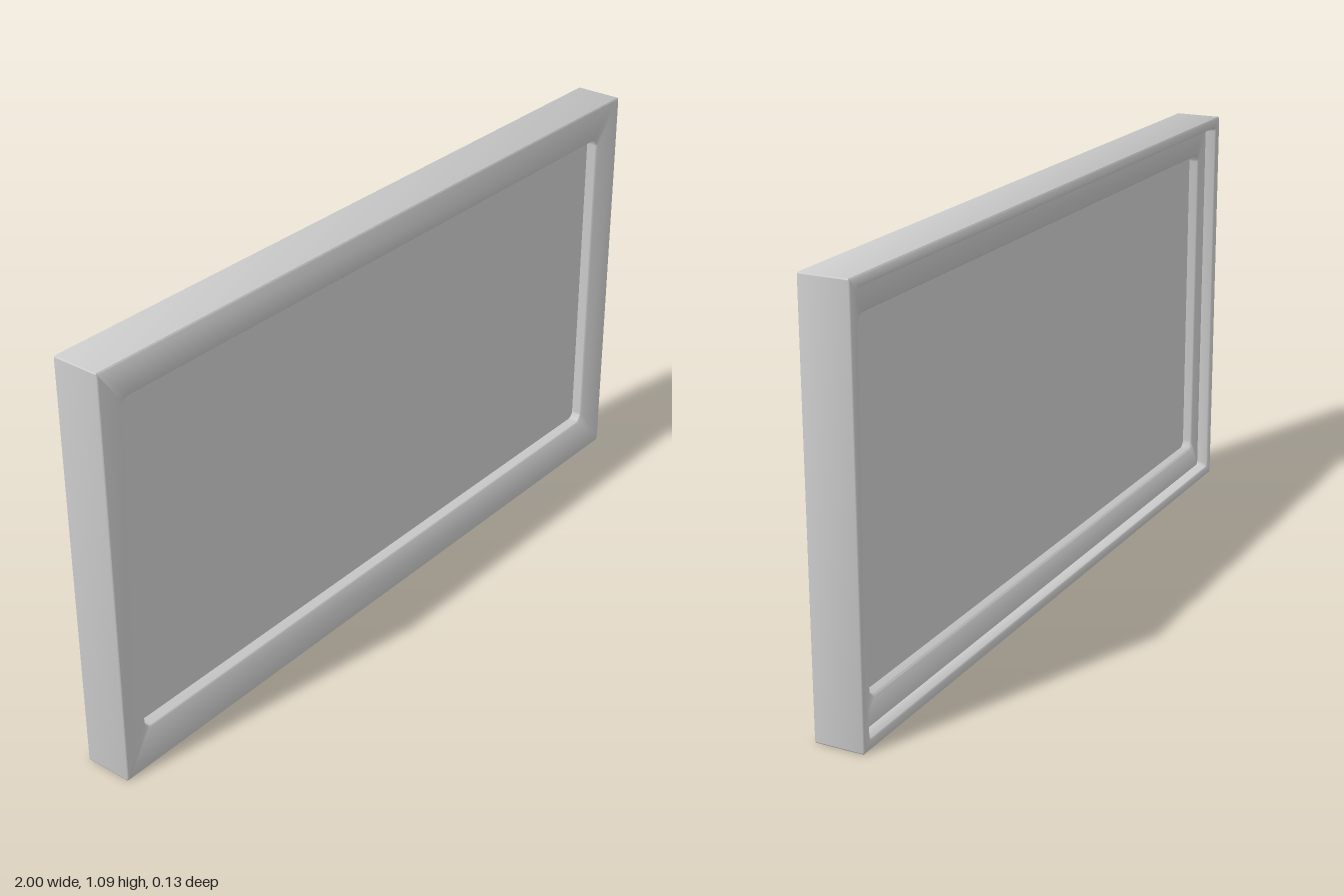
import * as THREE from 'three';
import { toCreasedNormals } from 'three/addons/utils/BufferGeometryUtils.js';

const W = 2, H = 1.09, ARC = 5;

// Rounded rectangle loop, counter-clockwise from the front, inset from the outer edge
function ring(insetX, insetY, z, r) {
  const points = [];
  const hx = W / 2 - insetX, hy = H / 2 - insetY;
  const corners = [[1, 1], [-1, 1], [-1, -1], [1, -1]];
  corners.forEach(([sx, sy], c) => {
    for (let k = 0; k <= ARC; k++) {
      const a = (c + k / ARC) * Math.PI / 2;
      points.push([sx * (hx - r) + r * Math.cos(a), sy * (hy - r) + r * Math.sin(a), z]);
    }
  });
  return points;
}

// Closed skin through a cycle of rings
function loftRings(rings) {
  const n = rings[0].length, index = [];
  rings.forEach((_, i) => {
    const p = i * n, q = ((i + 1) % rings.length) * n;
    for (let j = 0; j < n; j++) {
      const k = (j + 1) % n;
      index.push(p + j, p + k, q + j, p + k, q + k, q + j);
    }
  });
  const geometry = new THREE.BufferGeometry();
  geometry.setAttribute('position', new THREE.Float32BufferAttribute(rings.flat(2), 3));
  geometry.setIndex(index);
  return toCreasedNormals(geometry, 0.9);
}

export function createModel() {
  const group = new THREE.Group();
  const material = new THREE.MeshStandardMaterial({ color: 0xcccccc });

  // Frame section: side, sloped face, opening, stepped rebate at the back
  const section = [
    [0, 0, -0.062, 0.004],
    [0, 0, 0.062, 0.004],
    [0.003, 0.003, 0.065, 0.004],
    [0.076, 0.096, 0.053, 0.022],
    [0.081, 0.1, 0.049, 0.02],
    [0.081, 0.1, -0.031, 0.02],
    [0.077, 0.096, -0.035, 0.024],
    [0.03, 0.03, -0.035, 0.01],
    [0.027, 0.027, -0.062, 0.01],
    [0.024, 0.024, -0.065, 0.01],
    [0.003, 0.003, -0.065, 0.004],
  ];
  const frame = new THREE.Mesh(loftRings(section.map((s) => ring(...s))), material);
  frame.name = 'frame';
  frame.position.y = H / 2;
  group.add(frame);

  // Recessed panel, its edges let into the frame
  const panel = new THREE.Mesh(new THREE.BoxGeometry(W - 0.15, H - 0.19, 0.03), material);
  panel.name = 'panel';
  panel.position.set(0, H / 2, 0.007);
  group.add(panel);

  return group;
}
